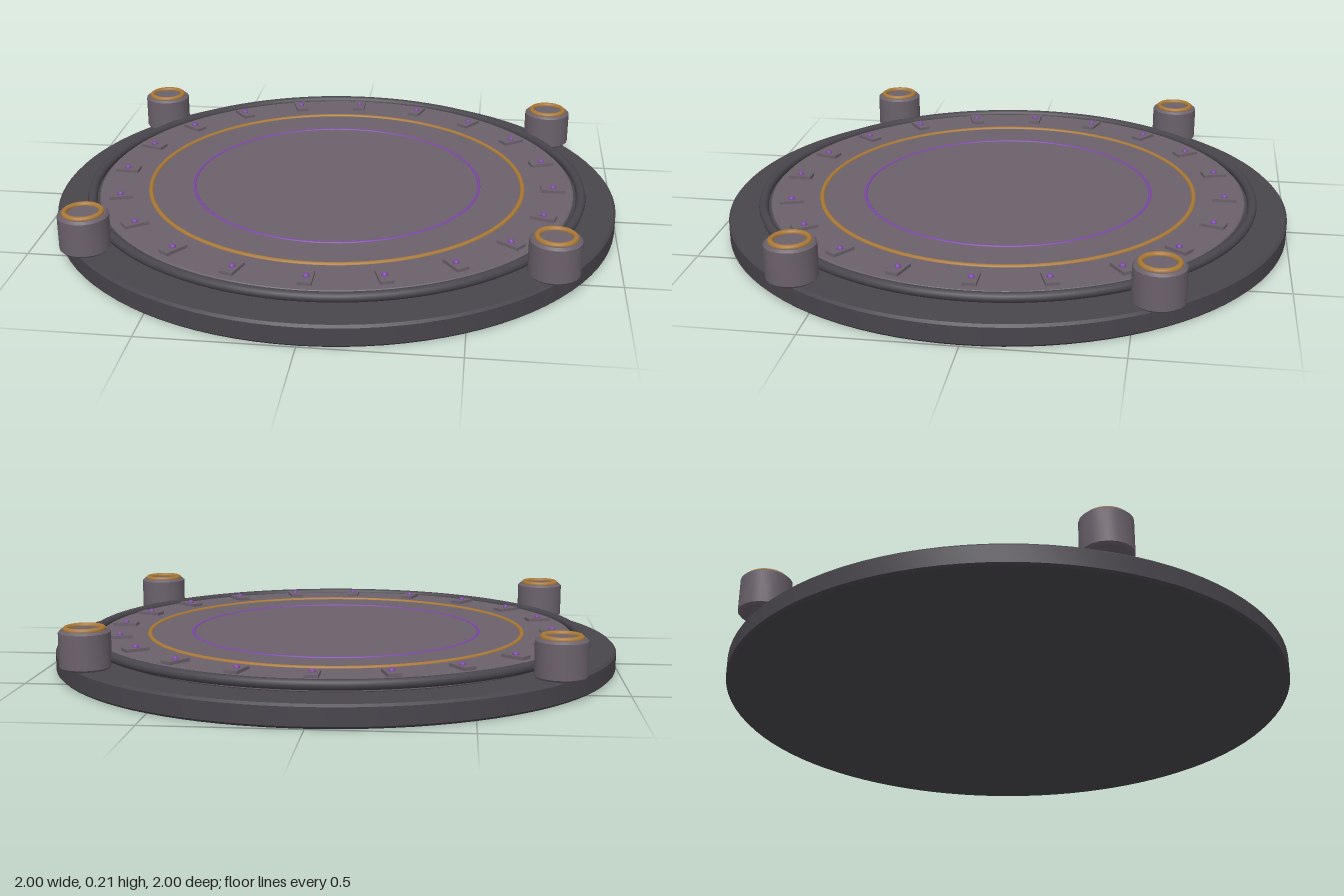
import * as THREE from 'three';
import { toCreasedNormals } from 'three/addons/utils/BufferGeometryUtils.js';

const mat = (color) => new THREE.MeshStandardMaterial({ color });

export function createModel() {
  const group = new THREE.Group();
  const dark = mat(0x48454c);
  const stone = mat(0x6b616b);
  const gold = mat(0xa87838);
  const violet = mat(0x7d48a6);

  const add = (parent, name, geometry, material, x = 0, y = 0, z = 0) => {
    const mesh = new THREE.Mesh(geometry, material);
    mesh.name = name;
    mesh.position.set(x, y, z);
    parent.add(mesh);
    return mesh;
  };

  // Solid disc with bevelled rims, standing on y = 0
  const disc = (r, h, bevel, sides) => {
    const profile = [[0, 0], [r - bevel, 0], [r, bevel], [r, h - bevel], [r - bevel, h], [0, h]];
    const lathe = new THREE.LatheGeometry(profile.map(([x, y]) => new THREE.Vector2(x, y)), sides);
    return toCreasedNormals(lathe, 0.5);
  };
  // Ring lying flat
  const ring = (r, tube, sides) =>
    new THREE.TorusGeometry(r, tube, 10, sides).rotateX(Math.PI / 2);

  // Stacked platform
  add(group, 'base', disc(1, 0.075, 0.008, 96), dark);
  add(group, 'plate', disc(0.85, 0.037, 0.004, 96), stone, 0, 0.074, 0);
  add(group, 'plateTrim', ring(0.876, 0.017, 96), dark, 0, 0.105, 0);
  add(group, 'goldInlay', ring(0.67, 0.009, 96), gold, 0, 0.109, 0);
  add(group, 'violetInlay', ring(0.515, 0.006, 96), violet, 0, 0.109, 0);

  // Markers around the plate, each with a small gem
  const markerShape = new THREE.BoxGeometry(0.045, 0.018, 0.085);
  const gemShape = new THREE.SphereGeometry(0.011, 10, 8);
  for (let i = 0; i < 20; i++) {
    const marker = new THREE.Group();
    marker.name = 'marker';
    marker.rotation.y = (i * Math.PI) / 10;
    add(marker, 'markerBlock', markerShape, stone, 0, 0.113, 0.778);
    add(marker, 'markerGem', gemShape, violet, 0, 0.122, 0.778);
    group.add(marker);
  }

  // Four posts capped with gold rings
  const postShape = disc(0.085, 0.13, 0.008, 20);
  const capShape = ring(0.061, 0.01, 32);
  for (const sx of [-1, 1]) {
    for (const sz of [-1, 1]) {
      const post = new THREE.Group();
      post.name = 'post';
      post.position.set(sx * 0.767, 0.074, sz * 0.577);
      add(post, 'postBody', postShape, stone);
      add(post, 'postRing', capShape, gold, 0, 0.131, 0);
      group.add(post);
    }
  }
  return group;
}
